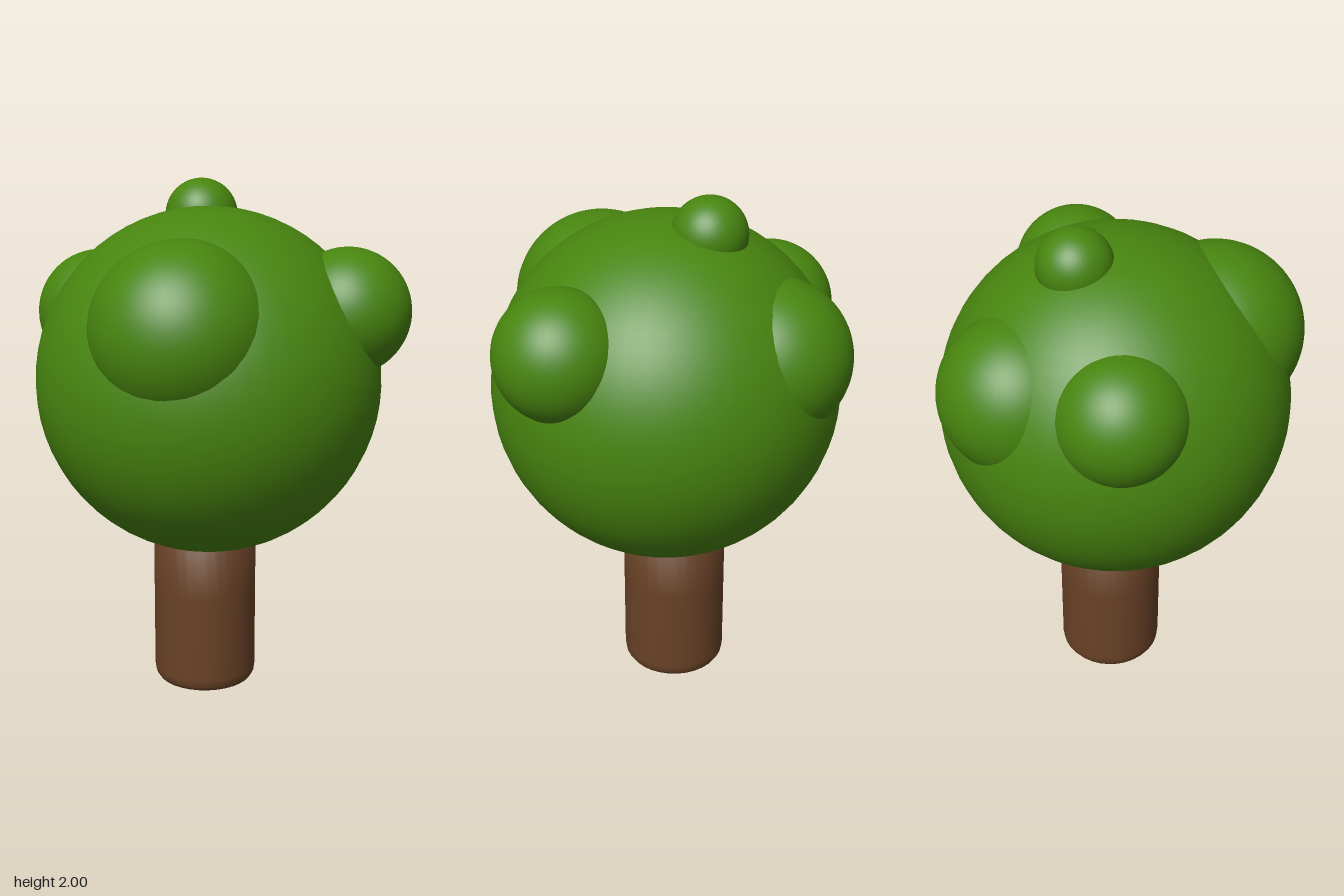
import * as THREE from 'three';

export function createModel() {
  const tree = new THREE.Group();
  tree.name = 'tree';

  const leafGreen = new THREE.MeshStandardMaterial({ color: 0x48850f });
  leafGreen.name = 'leaf green';
  const barkBrown = new THREE.MeshStandardMaterial({ color: 0x694226 });
  barkBrown.name = 'bark brown';

  // Trunk: a post with a rounded bottom rim, its top buried in the crown
  const profile = [
    [0, 0.005], [0.165, 0.005], [0.188, 0.012], [0.2, 0.03], [0.204, 0.06],
    [0.204, 0.4], [0.204, 0.75], [0, 0.75],
  ].map(([r, y]) => new THREE.Vector2(r, y));
  const trunk = new THREE.Mesh(new THREE.LatheGeometry(profile, 32), barkBrown);
  trunk.name = 'trunk';
  trunk.position.set(-0.035, -0.005, -0.018);
  tree.add(trunk);

  // Crown: one big ball with smaller leaf clumps pushed into it
  const balls = [
    ['crown', 0.664, -0.004, 1.242, -0.004],
    ['topClump', 0.14, -0.135, 1.86, -0.115],
    ['frontClump', 0.335, 0.16, 1.49, 0.338],
    ['leftClump', 0.24, 0.452, 1.525, -0.27],
    ['rightClump', 0.245, -0.455, 1.478, 0.125],
    ['backClump', 0.297, -0.327, 1.43, -0.277],
  ];
  for (const [name, radius, x, y, z] of balls) {
    const ball = new THREE.Mesh(new THREE.SphereGeometry(radius, 48, 32), leafGreen);
    ball.name = name;
    ball.position.set(x, y, z);
    tree.add(ball);
  }

  return tree;
}
